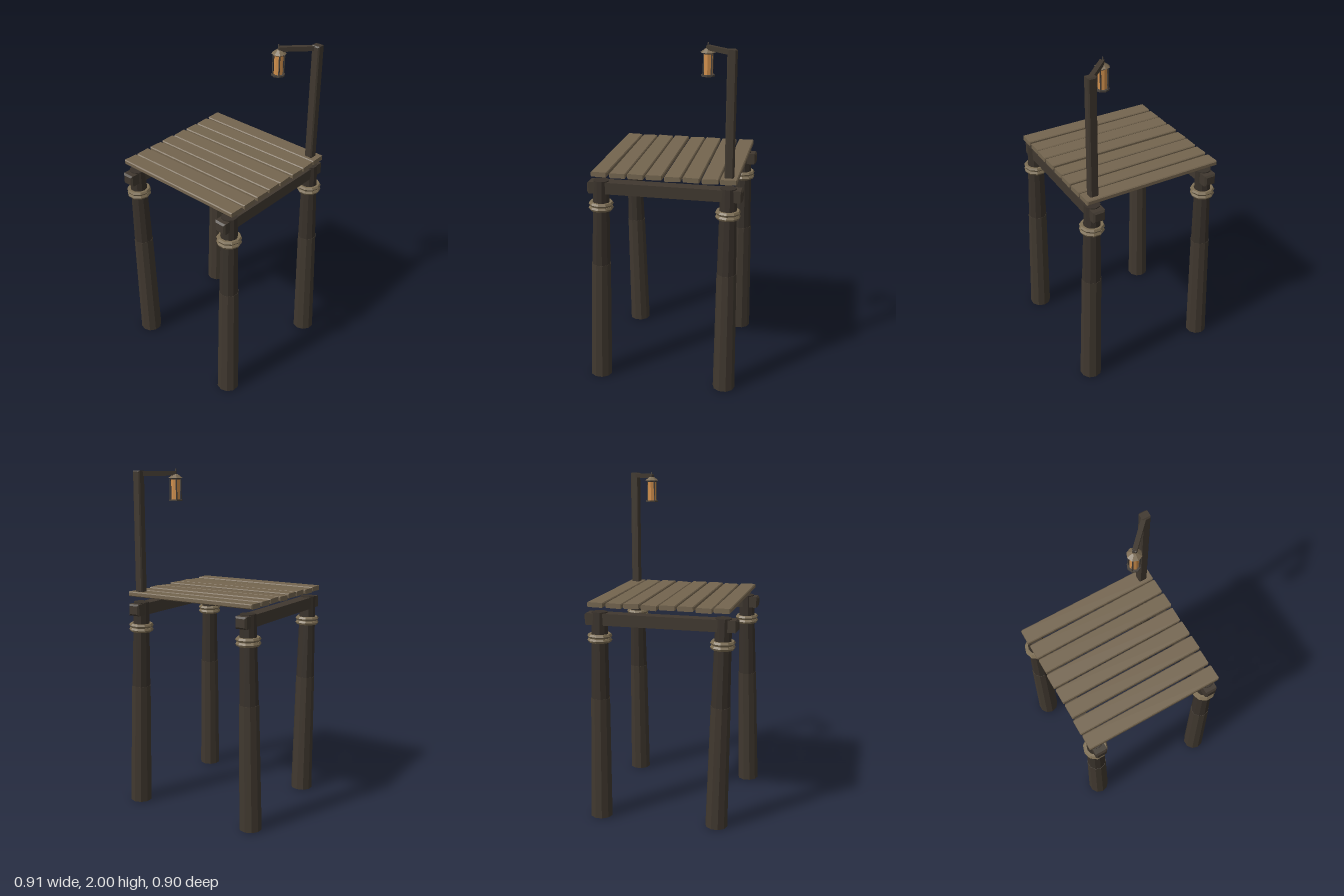
import * as THREE from 'three';

const mat = (name, color, flatShading = true) => {
  const m = new THREE.MeshStandardMaterial({ color, flatShading });
  m.name = name;
  return m;
};

export function createModel() {
  const darkWood = mat('dark wood', 0x40382f);
  const shadedWood = mat('weathered dark wood', 0x38312a);
  const plankWood = mat('plank wood', 0x74654f);
  const rope = mat('rope', 0x7d6e54);
  const glow = mat('lantern glow', 0xd08f4c);
  const metal = mat('lantern metal', 0x47413b);
  const roofTan = mat('lantern roof', 0x7a6a52);

  const model = new THREE.Group();
  model.name = 'lanternPlatform';

  const add = (parent, name, geometry, material, x = 0, y = 0, z = 0) => {
    const mesh = new THREE.Mesh(geometry, material);
    mesh.name = name;
    mesh.position.set(x, y, z);
    parent.add(mesh);
    return mesh;
  };

  // Box with chamfered edges, centred on its origin
  const chamferBox = (w, h, d, b) => {
    const x = w / 2 - b, y = h / 2 - b;
    const shape = new THREE.Shape([
      new THREE.Vector2(-x, -y), new THREE.Vector2(x, -y),
      new THREE.Vector2(x, y), new THREE.Vector2(-x, y),
    ]);
    return new THREE.ExtrudeGeometry(shape, {
      depth: d - 2 * b, bevelEnabled: true, bevelSize: b, bevelThickness: b, bevelSegments: 1,
    }).translate(0, 0, b - d / 2);
  };

  // Leaning legs in two tapered sections, with a double rope binding
  const up = new THREE.Vector3(0, 1, 0);
  const legs = [
    ['frontLeftLeg', 0.358, 0.355, 0.38, 0.385],
    ['frontRightLeg', -0.368, 0.35, -0.365, 0.322],
    ['backLeftLeg', 0.358, -0.367, 0.392, -0.37],
    ['backRightLeg', -0.368, -0.367, -0.395, -0.372],
  ];
  for (const [name, topX, topZ, footX, footZ] of legs) {
    const leg = new THREE.Group();
    leg.name = name;
    const foot = new THREE.Vector3(footX, 0.003, footZ);
    const axis = new THREE.Vector3(topX, 1.24, topZ).sub(foot);
    const length = axis.length();
    leg.position.copy(foot);
    leg.quaternion.setFromUnitVectors(up, axis.normalize());
    const joint = 0.73;
    add(leg, 'lowerSection', new THREE.CylinderGeometry(0.057, 0.065, joint, 10), darkWood, 0, joint / 2);
    add(leg, 'upperSection', new THREE.CylinderGeometry(0.046, 0.055, length - joint, 10),
      shadedWood, 0, (joint + length) / 2);
    for (const y of [1.074, 1.099]) {
      add(leg, 'ropeRing', new THREE.TorusGeometry(0.058, 0.0135, 6, 10).rotateX(Math.PI / 2), rope, 0, y);
    }
    model.add(leg);
  }

  // Side beams running front to back
  for (const x of [-0.367, 0.355]) {
    add(model, 'sideBeam', chamferBox(0.072, 0.068, 0.88, 0.01), darkWood, x, 1.2, -0.008);
  }

  // Deck planks, each slightly shifted and turned
  const lift = [0, -0.001, 0.001, -0.002, 0.002, 0.001, -0.002, 0.001];
  const yaw = [-0.003, 0.008, 0.006, 0.003, 0.004, 0.003, 0.004, -0.004];
  const tilt = [0.02, 0.03, -0.02, 0.05, 0.01, -0.03, 0.02, -0.01];
  for (let i = 0; i < 8; i++) {
    const plank = add(model, 'deckPlank', chamferBox(0.834, 0.028, 0.094, 0.005), plankWood,
      -0.004 + (i % 3 - 1) * 0.002, 1.287 + lift[i], -0.373 + i * 0.1035);
    plank.rotation.set(tilt[i], yaw[i], 0);
  }

  // Lamp post and diagonal arm
  const lampX = 0.207, lampZ = -0.22;
  const postX = 0.355, postZ = -0.37;
  add(model, 'lampPost', chamferBox(0.05, 0.695, 0.05, 0.007), darkWood, postX, 1.643, postZ);
  const arm = add(model, 'lampArm',
    chamferBox(0.026, 0.026, Math.hypot(postX - lampX, postZ - lampZ) + 0.01, 0.004), darkWood,
    (postX + lampX) / 2, 1.974, (postZ + lampZ) / 2);
  arm.rotation.y = Math.atan2(postX - lampX, postZ - lampZ);

  // Hanging lantern
  const lantern = new THREE.Group();
  lantern.name = 'lantern';
  lantern.position.set(lampX, 0, lampZ);
  model.add(lantern);
  add(lantern, 'hook', new THREE.CylinderGeometry(0.004, 0.004, 0.04, 6), metal, -0.004, 1.98, 0);
  add(lantern, 'roof', new THREE.CylinderGeometry(0.014, 0.042, 0.022, 8), roofTan, 0, 1.959, 0);
  add(lantern, 'roofRim', new THREE.CylinderGeometry(0.034, 0.03, 0.008, 8), metal, 0, 1.944, 0);
  add(lantern, 'glass', new THREE.CylinderGeometry(0.025, 0.025, 0.116, 8), glow, 0, 1.884, 0);
  add(lantern, 'base', new THREE.CylinderGeometry(0.039, 0.039, 0.009, 8), metal, 0, 1.824, 0);
  for (let i = 0; i < 4; i++) {
    const a = Math.PI / 4 + i * Math.PI / 2;
    add(lantern, 'frameBar', new THREE.BoxGeometry(0.006, 0.116, 0.006), metal,
      0.031 * Math.cos(a), 1.884, 0.031 * Math.sin(a));
  }

  return model;
}
